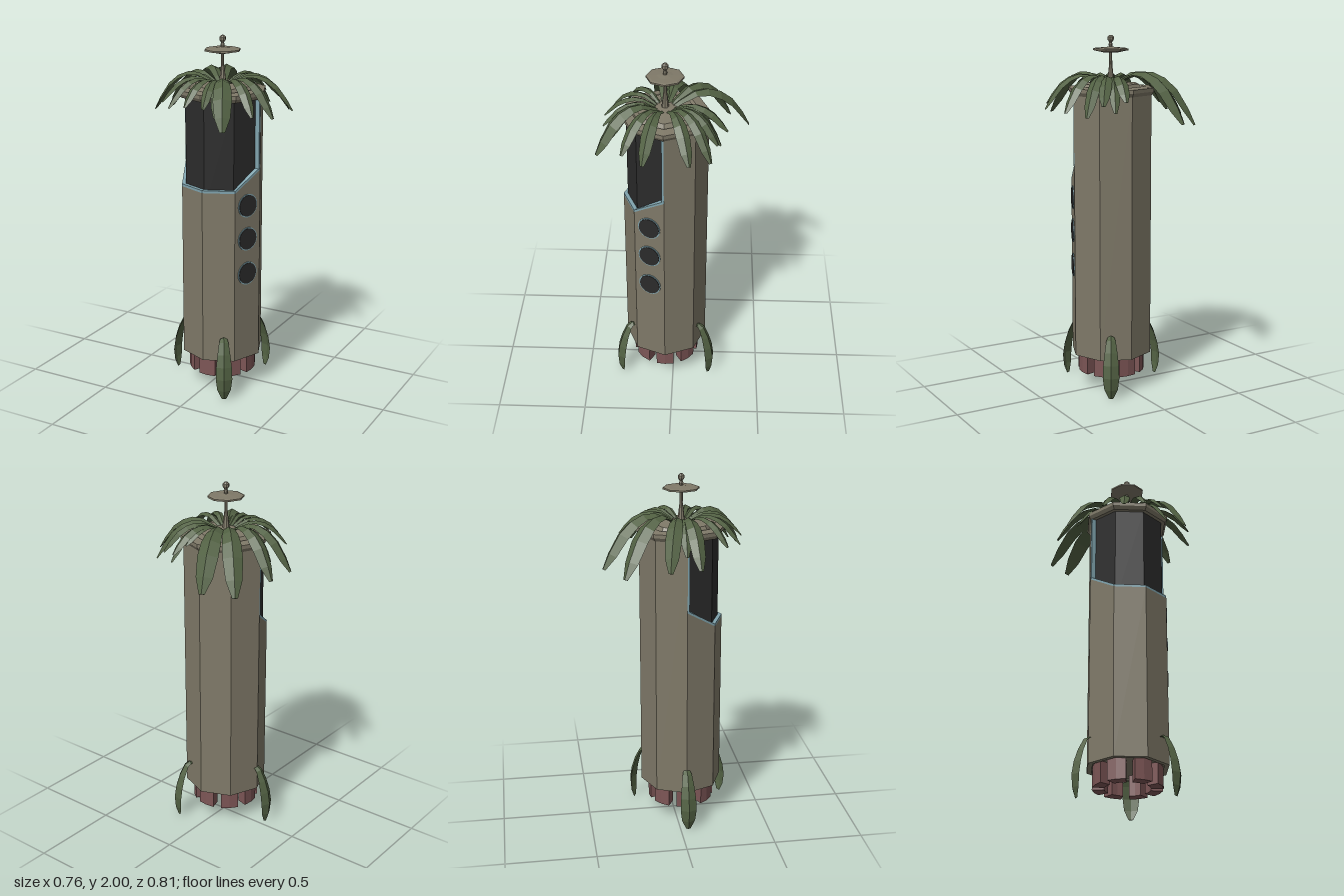
import * as THREE from 'three';

const mat = (color) => new THREE.MeshStandardMaterial({ color, flatShading: true, side: THREE.DoubleSide });
const stone = mat(0x7f7968), leafGreen = mat(0x526143), glass = mat(0x2b2b2b);
const frameBlue = mat(0x7fa3ad), brick = mat(0x7d5656);
const STEP = Math.PI / 4;

function add(parent, name, geometry, material) {
  const mesh = new THREE.Mesh(geometry, material);
  mesh.name = name;
  parent.add(mesh);
  return mesh;
}

// Block between two angles (0 = front) and two radii; lo and hi give the heights at each angle
function panel(a0, a1, r0, r1, lo, hi) {
  const g = new THREE.BoxGeometry(1, 1, 1), p = g.attributes.position;
  for (let i = 0; i < p.count; i++) {
    const side = p.getX(i) > 0 ? 1 : 0;
    const a = side ? a1 : a0;
    const r = p.getZ(i) > 0 ? r1 : r0;
    const y = (p.getY(i) > 0 ? hi : lo)[side];
    p.setXYZ(i, Math.sin(a) * r, y, Math.cos(a) * r);
  }
  g.computeVertexNormals();
  return g;
}

// Folded leaf swept along a (radius, height) curve
const LEAF_WIDTHS = [0.3, 0.42, 0.58, 0.78, 0.95, 1, 0.82, 0.28];
function leaf(points, halfWidth) {
  const curve = new THREE.SplineCurve(points.map(([r, y]) => new THREE.Vector2(r, y)));
  const segs = LEAF_WIDTHS.length - 1;
  const g = new THREE.CylinderGeometry(1, 1, 1, 4, segs), p = g.attributes.position;
  for (let i = 0; i < p.count; i++) {
    const t = Math.min(1, Math.max(0, p.getY(i) + 0.5));
    const c = curve.getPoint(t), tan = curve.getTangent(t);
    const w = halfWidth * LEAF_WIDTHS[Math.round(t * segs)];
    const x = p.getX(i);
    // ridge on top, edges hanging, shallow groove underneath
    const off = w * (x < -0.5 ? -0.3 : x > 0.5 ? -0.02 : 0.2);
    p.setXYZ(i, c.x + tan.y * off, c.y - tan.x * off, p.getZ(i) * w);
  }
  g.computeVertexNormals();
  return g;
}

export function createModel() {
  const root = new THREE.Group();
  root.name = 'tower';
  const axis = new THREE.Group();
  axis.name = 'towerAxis';
  axis.position.set(0.02, 0, 0.045);
  root.add(axis);

  // Octagonal wall, cut low at the front for the window
  const R = 0.232, R_IN = 0.205, TOP = 1.69, BASE = 0.2, TRIM = 0.014;
  const cut = [1.195, 1.195, 1.3];
  for (let i = -4; i < 4; i++) {
    const a0 = i * STEP, a1 = a0 + STEP;
    const front = i >= -2 && i < 2;
    const hi = front ? [cut[Math.abs(i)], cut[Math.abs(i + 1)]] : [TOP, TOP];
    const wallTop = front ? hi.map((h) => h - TRIM) : hi;
    add(axis, 'wallPanel', panel(a0, a1, R_IN, R, [BASE, BASE], wallTop), stone);
    if (front) add(axis, 'windowSill', panel(a0, a1, R_IN, R, wallTop, hi), frameBlue);
  }
  for (const s of [-1, 1]) {
    const edge = s * Math.PI / 2, inner = s * (Math.PI / 2 - 0.05);
    add(axis, 'windowJamb', panel(Math.min(edge, inner), Math.max(edge, inner), R_IN, 0.23, [1.29, 1.29], [TOP, TOP]), frameBlue);
  }

  // Dark glazing behind the opening, and the floor of the tower
  add(axis, 'windowGlass', new THREE.CylinderGeometry(0.209, 0.209, 0.59, 8), glass).position.y = 1.385;
  add(axis, 'floor', new THREE.CylinderGeometry(0.215, 0.215, 0.02, 8), stone).position.y = 0.216;

  // Portholes on one angled side face
  for (const y of [0.71, 0.91, 1.1]) {
    const porthole = new THREE.Group();
    porthole.name = 'porthole';
    const a = 1.5 * STEP, d = R * Math.cos(STEP / 2);
    porthole.position.set(Math.sin(a) * d, y, Math.cos(a) * d);
    porthole.rotation.y = a;
    axis.add(porthole);
    add(porthole, 'portholeRing', new THREE.CylinderGeometry(0.066, 0.066, 0.008, 20), frameBlue).rotation.x = Math.PI / 2;
    add(porthole, 'portholeGlass', new THREE.CylinderGeometry(0.06, 0.06, 0.014, 20), glass).rotation.x = Math.PI / 2;
  }

  // Brick feet wrapping each corner of the base
  for (let i = 0; i < 8; i++) {
    const a = i * STEP;
    for (const s of [-1, 0]) {
      add(axis, 'foot', panel(a + s * 0.27, a + (s + 1) * 0.27, 0.125, 0.19, [0.09, 0.09], [0.21, 0.21]), brick);
    }
  }

  // Stepped roof
  const lathe = (profile) => new THREE.LatheGeometry(profile.map(([r, y]) => new THREE.Vector2(r, y)), 8);
  add(axis, 'roof', lathe([[0, 1.675], [0.232, 1.675], [0.246, 1.695], [0.246, 1.715], [0.19, 1.722],
    [0.175, 1.712], [0.16, 1.735], [0.1, 1.74], [0, 1.75]]), stone);

  // Mast with a dish and a knob
  add(axis, 'mast', lathe([[0.022, 1.73], [0.015, 1.79], [0.009, 1.84], [0.009, 1.93], [0.012, 1.95],
    [0.008, 1.96], [0.018, 1.975], [0.018, 1.99], [0.008, 2], [0, 2]]), stone);
  add(axis, 'dish', lathe([[0, 1.905], [0.04, 1.905], [0.085, 1.915], [0.1, 1.917], [0.1, 1.926],
    [0.088, 1.93], [0.045, 1.932], [0, 1.938]]), stone);

  // Crown leaves: tip x, tip z, tip height, half width
  const crown = [
    [-0.17, -0.4, 1.54, 0.056], [-0.31, -0.3, 1.52, 0.053], [-0.37, -0.07, 1.56, 0.044],
    [-0.38, 0.09, 1.57, 0.042], [-0.235, 0.255, 1.65, 0.03], [-0.145, 0.34, 1.64, 0.03],
    [-0.03, 0.37, 1.66, 0.028], [0.08, 0.37, 1.66, 0.028], [0.21, 0.4, 1.56, 0.05],
    [0.31, 0.26, 1.62, 0.034], [0.375, 0.15, 1.6, 0.037], [0.375, -0.09, 1.6, 0.037],
    [0.305, -0.2, 1.58, 0.036], [0.225, -0.235, 1.64, 0.034], [0.115, -0.285, 1.66, 0.034],
    [0.08, -0.22, 1.7, 0.026], [0.16, -0.25, 1.6, 0.03], [0.13, 0.33, 1.61, 0.03], [-0.29, 0.03, 1.62, 0.03],
  ];
  for (const [tx, tz, tipY, w] of crown) {
    const dx = tx - 0.02, dz = tz - 0.045, d = Math.hypot(dx, dz);
    const peak = 1.735 + d * 0.13;
    const path = [[0.03, 1.73], [d * 0.4, peak], [d * 0.72, peak * 0.7 + tipY * 0.3 + 0.01], [d, tipY]];
    add(axis, 'crownLeaf', leaf(path, w), leafGreen).rotation.y = Math.atan2(-dz, dx);
  }

  // Three leaf fins around the base
  for (let i = 0; i < 3; i++) {
    const path = [[0.205, 0.335], [0.245, 0.335], [0.292, 0.23], [0.312, 0.11], [0.298, 0.005]];
    add(axis, 'baseLeaf', leaf(path, 0.046), leafGreen).rotation.y = Math.PI / 3 + i * Math.PI * 2 / 3;
  }
  return root;
}
